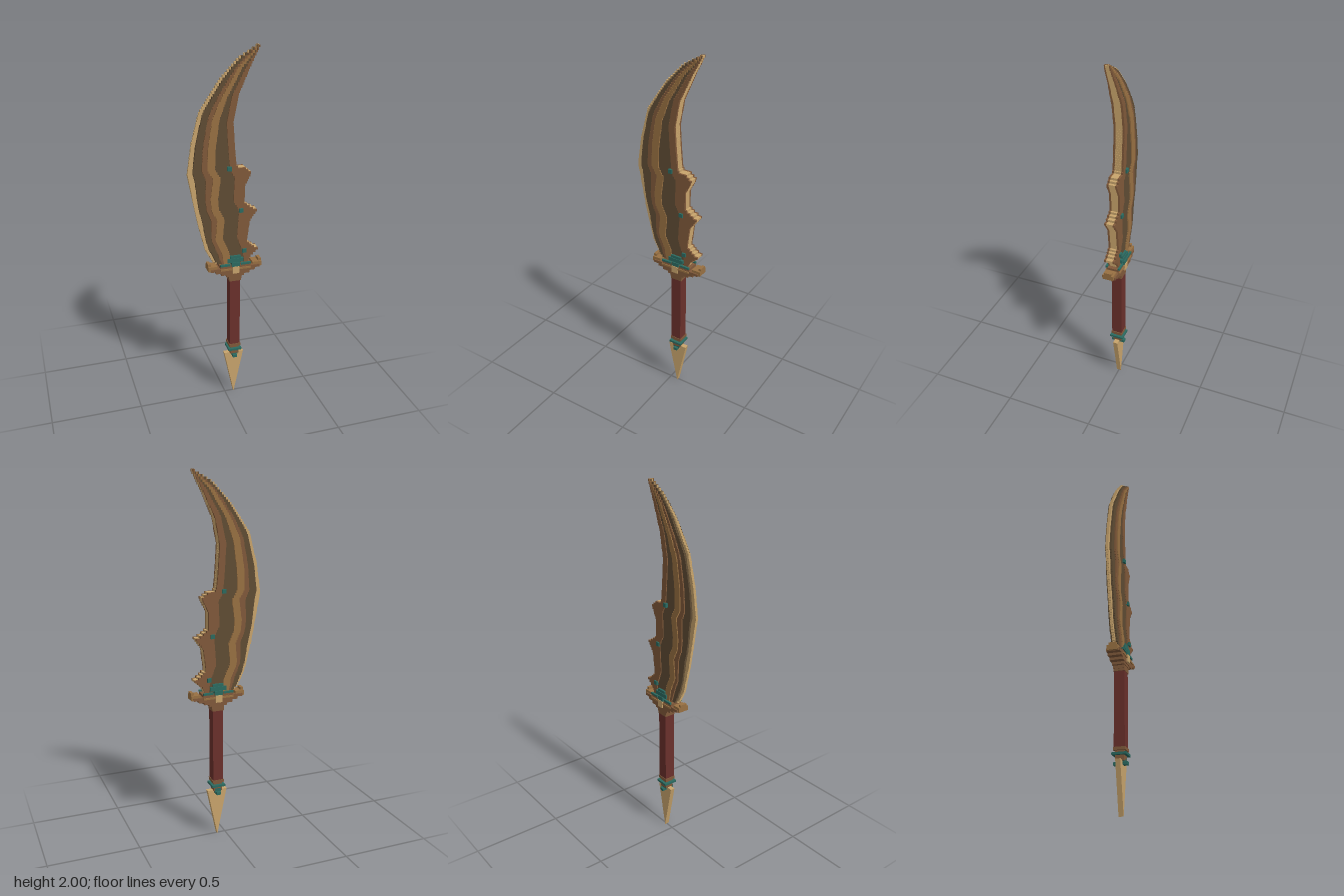
import * as THREE from 'three';
import { mergeGeometries } from 'three/addons/utils/BufferGeometryUtils.js';

const makeMaterial = (name, color) => {
  const m = new THREE.MeshStandardMaterial({ color });
  m.name = name;
  return m;
};

// Piecewise linear lookup of x by height; points are [y, x] from low to high
const along = (pts) => (y) => {
  if (y <= pts[0][0]) return pts[0][1];
  for (let i = 1; i < pts.length; i++) {
    const [y0, x0] = pts[i - 1], [y1, x1] = pts[i];
    if (y <= y1) return x0 + (x1 - x0) * (y - y0) / (y1 - y0);
  }
  return pts[pts.length - 1][1];
};

// Blade outline, inner ridge and spine boundary
const cuttingEdge = along([[0.85, -0.05], [0.865, -0.07], [0.94, -0.11], [1.1, -0.15], [1.235, -0.175],
  [1.37, -0.2], [1.525, -0.177], [1.685, -0.135], [1.84, -0.03], [1.94, 0.065], [2, 0.168]]);
const spine = along([[0.85, 0.12], [0.88, 0.135], [0.92, 0.18], [0.935, 0.15], [0.97, 0.115], [1.09, 0.13],
  [1.145, 0.17], [1.16, 0.14], [1.19, 0.1], [1.285, 0.1], [1.355, 0.135], [1.385, 0.1], [1.395, 0.055],
  [1.5, 0.045], [1.63, 0.037], [1.765, 0.062], [1.9, 0.125], [2, 0.178]]);
const ridge = along([[0.865, 0.005], [0.92, -0.005], [1, -0.04], [1.11, -0.03], [1.17, -0.06], [1.23, -0.065],
  [1.34, -0.05], [1.39, -0.08], [1.5, -0.077], [1.65, -0.055], [1.76, -0.01], [1.9, 0.075], [2, 0.172]]);
const innerSpine = along([[0.865, 0.1], [0.92, 0.09], [1, 0.06], [1.15, 0.07], [1.21, 0.04], [1.34, 0.045],
  [1.38, 0.02], [1.5, 0.01], [1.63, 0.002], [1.765, 0.03], [1.9, 0.103], [2, 0.175]]);

export function createModel() {
  const group = new THREE.Group();
  const tan = makeMaterial('tan', 0xc8a46c);
  const gold = makeMaterial('gold brown', 0x987042);
  const brown = makeMaterial('brown', 0x80593a);
  const dark = makeMaterial('dark olive', 0x5f4c34);
  const teal = makeMaterial('teal', 0x2b6a60);
  const maroon = makeMaterial('maroon', 0x6a302b);

  const block = (x0, x1, y0, y1, z0, z1) =>
    new THREE.BoxGeometry(x1 - x0, y1 - y0, z1 - z0).translate((x0 + x1) / 2, (y0 + y1) / 2, (z0 + z1) / 2);
  const add = (name, material, geometries) => {
    const mesh = new THREE.Mesh(mergeGeometries(geometries), material);
    mesh.name = name;
    group.add(mesh);
  };
  // Box centred on z = 0 and on the handle axis
  const AXIS = 0.05;
  const centred = (halfX, y0, y1, halfZ) => block(AXIS - halfX, AXIS + halfX, y0, y1, -halfZ, halfZ);
  const bothFaces = (x0, x1, y0, y1, z0, z1) => [block(x0, x1, y0, y1, z0, z1), block(x0, x1, y0, y1, -z1, -z0)];

  // Blade: stacked rows, each split into bands of different thickness
  const bands = { edge: [], bevel: [], step: [], ridge: [], fuller: [], spineCore: [], spineFace: [] };
  const ROWS = 92, Y0 = 0.85, H = (2 - Y0) / ROWS;
  for (let i = 0; i < ROWS; i++) {
    const y0 = Y0 + i * H, y1 = y0 + H, y = y0 + H / 2;
    const L = cuttingEdge(y), R = spine(y), M = ridge(y), E = innerSpine(y);
    const thin = y > 1.78 ? 1 - 0.5 * (y - 1.78) / 0.22 : 1;
    const half = Math.min(0.02, (R - L) * 0.1);
    const a = L + (M - half - L) * 0.25, b = L + (M - half - L) * 0.7;
    const row = (list, x0, x1, depth) => {
      if (x1 - x0 > 0.0005) list.push(block(x0, x1, y0, y1, -depth * thin, depth * thin));
    };
    row(bands.edge, L, a, 0.007);
    row(bands.bevel, a, b, 0.018);
    row(bands.step, b, M - half, 0.025);
    row(bands.ridge, M - half, M + half, 0.03);
    row(bands.fuller, M + half, E, 0.024);
    row(bands.spineCore, E, R, 0.018);
    bands.spineFace.push(...bothFaces(E, R, y0, y1, 0.018 * thin, 0.029 * thin));
  }
  add('cuttingEdge', tan, bands.edge);
  add('bladeBevel', dark, bands.bevel);
  add('bladeStep', brown, bands.step);
  add('bladeRidge', gold, bands.ridge);
  add('bladeFuller', dark, bands.fuller);
  add('spineCore', tan, bands.spineCore);
  add('spineFaces', brown, bands.spineFace);

  // Studs beside the three barbs
  add('bladeStuds', teal, [[0.015, 1.39], [0.08, 1.155], [0.1, 0.92]].flatMap(([x, y]) =>
    [block(x - 0.011, x + 0.011, y - 0.011, y + 0.011, -0.038, 0.038)]));

  // Guard: stepped tiers that narrow towards the handle, with raised tips
  const tiers = [[0.035, 0.755, 0.772, 0.031], [0.05, 0.772, 0.786, 0.034], [0.08, 0.786, 0.8, 0.037],
    [0.11, 0.8, 0.813, 0.037], [0.138, 0.813, 0.828, 0.037], [0.085, 0.828, 0.842, 0.035]];
  add('guard', brown, tiers.map((t) => centred(...t)));
  const tips = [];
  for (const s of [-1, 1]) {
    const tip = (c, w, y0, y1, d) => tips.push(block(AXIS + s * c - w / 2, AXIS + s * c + w / 2, y0, y1, -d, d));
    tip(0.125, 0.05, 0.828, 0.842, 0.03);
    tip(0.142, 0.016, 0.842, 0.856, 0.02);
    tip(0.144, 0.012, 0.815, 0.828, 0.03);
  }
  add('guardTips', gold, tips);
  add('guardTrim', gold, [...bothFaces(-0.035, 0.135, 0.815, 0.825, 0.037, 0.042)]);
  // Guard ornament on both faces
  add('guardGem', teal, [
    centred(0.045, 0.858, 0.88, 0.038), centred(0.03, 0.88, 0.895, 0.035), centred(0.022, 0.835, 0.858, 0.043),
    ...bothFaces(-0.035, 0.02, 0.84, 0.851, 0.03, 0.041), ...bothFaces(0.08, 0.135, 0.84, 0.851, 0.03, 0.041)]);
  add('guardBoss', tan, [centred(0.018, 0.795, 0.835, 0.046)]);

  // Handle with collars
  add('handle', maroon, [centred(0.029, 0.335, 0.745, 0.029)]);
  add('handleCollars', brown, [centred(0.033, 0.742, 0.757, 0.031), centred(0.033, 0.322, 0.338, 0.032),
    centred(0.024, 0.27, 0.322, 0.024)]);
  add('pommelRing', teal, [centred(0.038, 0.298, 0.31, 0.039)]);
  add('pommelClasp', teal, [centred(0.018, 0.262, 0.285, 0.024), centred(0.012, 0.25, 0.266, 0.038)]);

  // Pommel spike: flat triangle with a notch for the clasp
  const outline = new THREE.Shape([[0, 0], [0.056, 0.272], [0.022, 0.272], [0.016, 0.25], [-0.016, 0.25],
    [-0.022, 0.272], [-0.056, 0.272]].map(([x, y]) => new THREE.Vector2(AXIS + x, y)));
  add('pommelSpike', tan,
    [new THREE.ExtrudeGeometry(outline, { depth: 0.026, bevelEnabled: false }).translate(0, 0, -0.013)]);

  return group;
}
